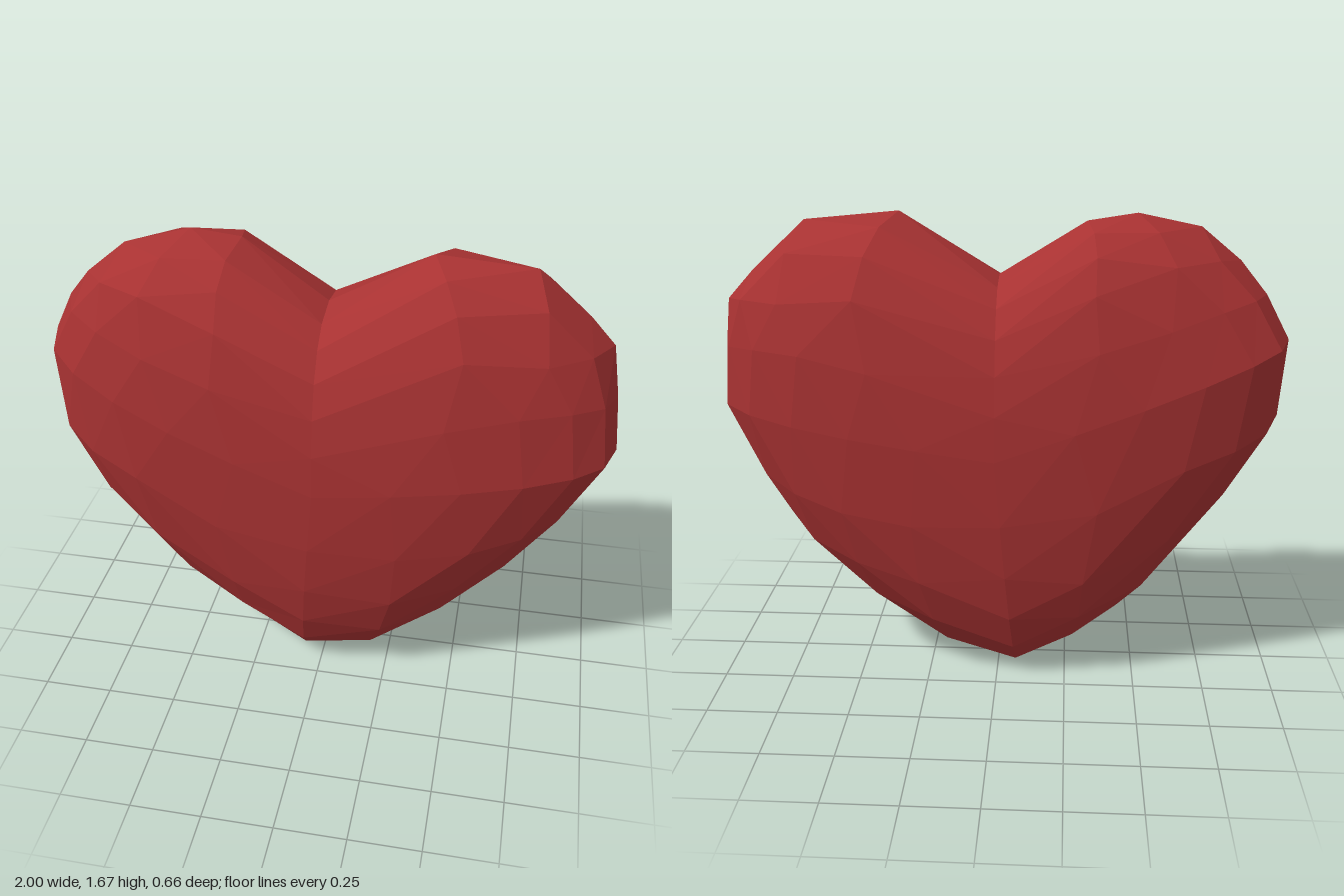
import * as THREE from 'three';

// Heart outline, clockwise from the cleft, 24 corners
const OUTLINE = [
  [0, 1.46], [0.35, 1.67], [0.68, 1.64], [0.86, 1.47], [0.95, 1.37], [0.98, 1.2],
  [1, 1.01], [0.89, 0.79], [0.77, 0.57], [0.58, 0.38], [0.39, 0.19], [0.15, 0.04],
  [-0.07, 0], [-0.25, 0.1], [-0.44, 0.21], [-0.7, 0.5], [-0.92, 0.82], [-0.985, 0.97],
  [-1, 1.25], [-0.92, 1.4], [-0.83, 1.51], [-0.69, 1.625], [-0.47, 1.675], [-0.3, 1.65],
];
const COUNT = OUTLINE.length;
// Size of each ring of facets, from the rim to the middle of a face
const RINGS = [1, 0.96, 0.86, 0.7, 0.5, 0.27, 0];
const CENTRE_Y = 0.88;
const HALF_DEPTH = 0.33;

function outlineAt(index) {
  const i = Math.floor(index);
  const f = index - i;
  const a = OUTLINE[i % COUNT];
  const b = OUTLINE[(i + 1) % COUNT];
  return [a[0] + (b[0] - a[0]) * f, a[1] + (b[1] - a[1]) * f];
}

export function createModel() {
  const group = new THREE.Group();
  group.name = 'heart';

  // An octahedral sphere keeps a line of edges along the rim and the cleft
  const geometry = new THREE.OctahedronGeometry(1, RINGS.length - 2);
  const position = geometry.attributes.position;
  for (let n = 0; n < position.count; n++) {
    const x = position.getX(n), y = position.getY(n), z = position.getZ(n);
    const flat = Math.abs(x) + Math.abs(y);
    const level = Math.abs(z) / (flat + Math.abs(z));
    const size = RINGS[Math.round(level * (RINGS.length - 1))];

    // Place around the outline, then shrink towards the centre
    const half = flat > 1e-6 ? (1 - y / flat) * COUNT / 4 : 0;
    const index = x >= 0 ? half : COUNT - half;
    const [ox, oy] = outlineAt(index);

    // Pillow-shaped depth, with a slightly uneven rim
    const depth = HALF_DEPTH * Math.pow(1 - Math.pow(size, 2.5), 0.4);
    const wobble = 0.035 * Math.pow(1 - level, 3) * Math.sin(index * Math.PI * 10 / COUNT);
    position.setXYZ(n, ox * size, CENTRE_Y + (oy - CENTRE_Y) * size, Math.sign(z) * depth + wobble);
  }
  geometry.computeVertexNormals();

  const body = new THREE.Mesh(
    geometry,
    new THREE.MeshStandardMaterial({ color: 0xa83232, flatShading: true })
  );
  body.name = 'heartBody';
  group.add(body);
  return group;
}
